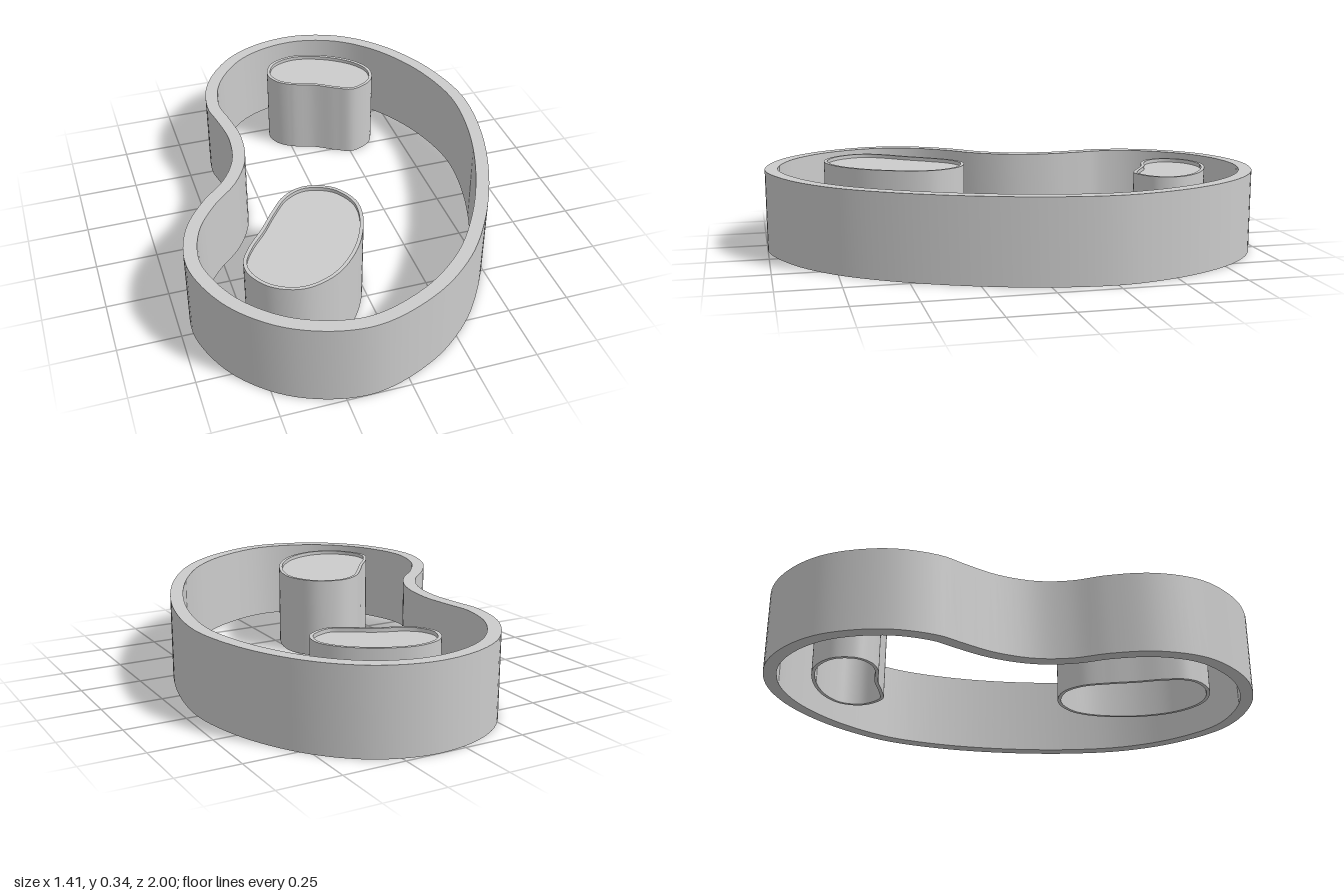
import * as THREE from 'three';
import { toCreasedNormals } from 'three/addons/utils/BufferGeometryUtils.js';

const HEIGHT = 0.34;

// Outlines as [x, z] points of closed smooth curves, clockwise seen from above
const BASIN = [
  [0.11, -1], [0.25, -0.975], [0.38, -0.91], [0.51, -0.785], [0.62, -0.6], [0.685, -0.4],
  [0.705, -0.23], [0.67, 0.03], [0.58, 0.31], [0.45, 0.57], [0.3, 0.77], [0.1, 0.92],
  [-0.16, 1], [-0.42, 0.93], [-0.6, 0.77], [-0.69, 0.58], [-0.705, 0.45], [-0.66, 0.28],
  [-0.56, 0.135], [-0.46, 0.035], [-0.39, -0.09], [-0.365, -0.25], [-0.382, -0.4],
  [-0.398, -0.5], [-0.37, -0.66], [-0.3, -0.79], [-0.19, -0.905], [-0.05, -0.975],
];
const SMALL = [
  [0.08, -0.82], [0.22, -0.78], [0.34, -0.69], [0.385, -0.6], [0.36, -0.51], [0.26, -0.46],
  [0.19, -0.49], [0.1, -0.545], [0, -0.583], [-0.055, -0.63], [-0.075, -0.7], [-0.03, -0.785],
];
const LARGE = [
  [-0.16, 0.165], [-0.05, 0.205], [0.008, 0.3], [0.012, 0.38], [-0.02, 0.49], [-0.09, 0.61],
  [-0.2, 0.71], [-0.33, 0.745], [-0.44, 0.7], [-0.5, 0.61], [-0.503, 0.54], [-0.46, 0.46],
  [-0.39, 0.375], [-0.325, 0.285], [-0.25, 0.2],
];

// Samples the smooth outline, moved inwards by inset
function outline(points, inset, segments) {
  const curve = new THREE.CatmullRomCurve3(
    points.map(([x, z]) => new THREE.Vector3(x, 0, z)), true, 'centripetal');
  return Array.from({ length: segments }, (_, i) => {
    const p = curve.getPointAt(i / segments);
    const t = curve.getTangentAt(i / segments);
    return new THREE.Vector2(p.x - t.z * inset, p.z + t.x * inset);
  });
}

// Extrudes a plan shape between two heights
function upright(shape, bottom, top) {
  const geometry = new THREE.ExtrudeGeometry(shape, { depth: top - bottom, bevelEnabled: false });
  geometry.rotateX(Math.PI / 2).translate(0, top, 0);
  return toCreasedNormals(geometry, 0.6);
}

export function createModel() {
  const group = new THREE.Group();
  const material = new THREE.MeshStandardMaterial({ color: 0xcccccc });

  function add(name, geometry) {
    const mesh = new THREE.Mesh(geometry, material);
    mesh.name = name;
    group.add(mesh);
  }

  function wall(name, points, thickness, segments) {
    const shape = new THREE.Shape(outline(points, 0, segments));
    shape.holes.push(new THREE.Path(outline(points, thickness, segments)));
    add(name, upright(shape, 0, HEIGHT));
  }

  // Open kidney-shaped outer wall
  wall('basinWall', BASIN, 0.053, 160);

  // Two hollow islands, each closed by a lid just below its rim
  for (const [name, points] of [['smallIsland', SMALL], ['largeIsland', LARGE]]) {
    wall(name + 'Wall', points, 0.014, 96);
    const lid = new THREE.Shape(outline(points, 0.014, 96));
    add(name + 'Lid', upright(lid, HEIGHT - 0.035, HEIGHT - 0.015));
  }

  return group;
}
